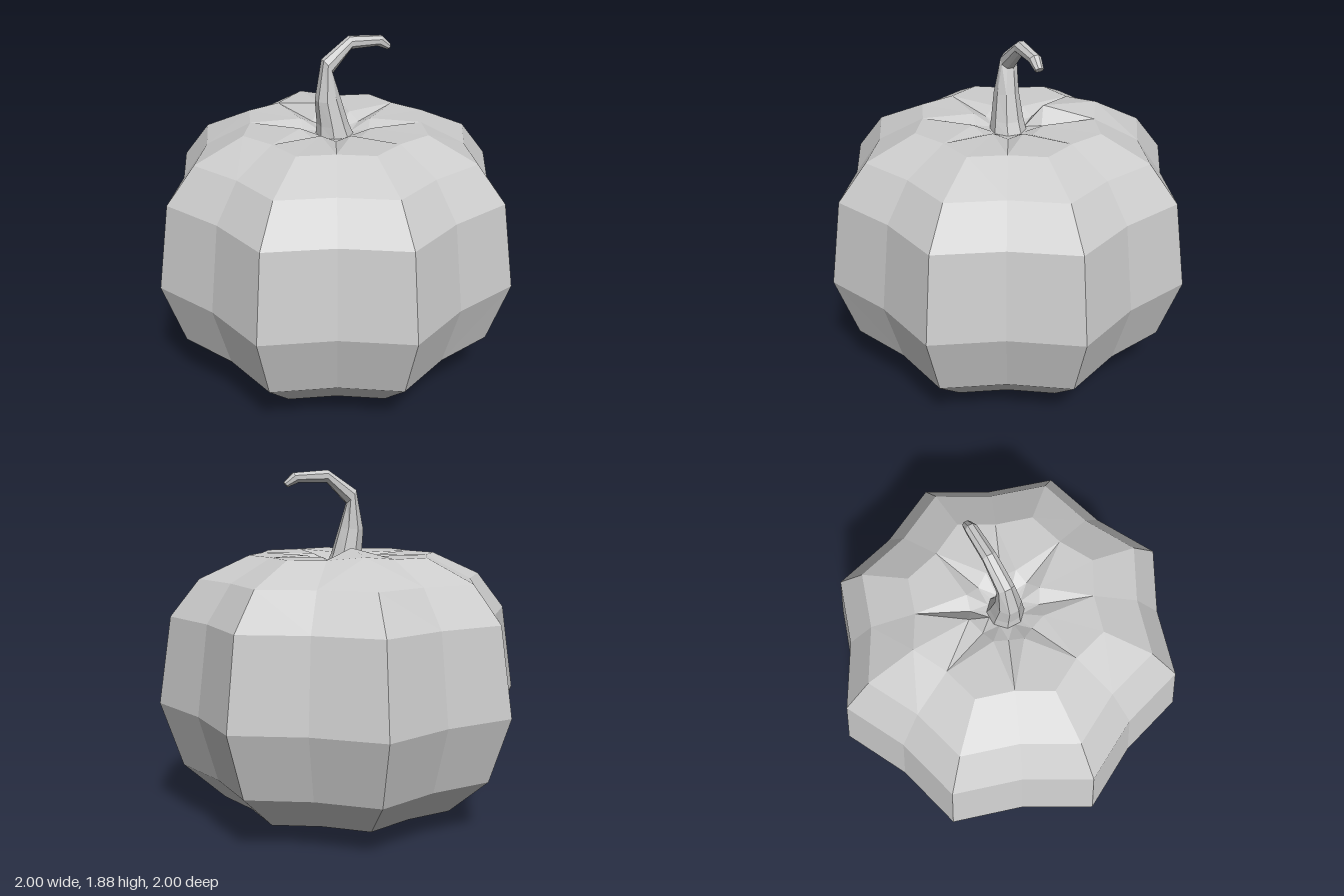
import * as THREE from 'three';

const SIDES = 16;

// Joins rings of points (bottom to top) into a faceted skin.
// slant(band, i) chooses which diagonal splits a quad.
function loft(rings, slant = () => true) {
  const pos = [];
  const tri = (...pts) => pts.forEach((p) => pos.push(p.x, p.y, p.z));
  for (let k = 0; k < rings.length - 1; k++) {
    const a = rings[k], b = rings[k + 1], n = a.length;
    for (let i = 0; i < n; i++) {
      const j = (i + 1) % n;
      if (slant(k, i)) {
        tri(a[i], a[j], b[i]);
        tri(a[j], b[j], b[i]);
      } else {
        tri(a[i], a[j], b[j]);
        tri(a[i], b[j], b[i]);
      }
    }
  }
  const geometry = new THREE.BufferGeometry();
  geometry.setAttribute('position', new THREE.Float32BufferAttribute(pos, 3));
  geometry.computeVertexNormals();
  return geometry;
}

// Ribbed body: even columns are ridges, odd columns are grooves
function bodyGeometry() {
  // ridge radius, groove radius, ridge height, groove height
  const profile = [
    [0, 0, 0.02, 0.02],
    [0.17, 0.15, 0, 0.025],
    [0.665, 0.588, 0.1, 0.1],
    [0.885, 0.782, 0.3, 0.3],
    [1, 0.884, 0.65, 0.65],
    [0.93, 0.822, 1.115, 1.115],
    [0.775, 0.685, 1.31, 1.31],
    [0.51, 0.45, 1.43, 1.43],
    [0.2, 0.175, 1.425, 1.39],
    [0.09, 0.09, 1.37, 1.37],
    [0, 0, 1.37, 1.37],
  ];
  const rings = profile.map(([rr, rg, yr, yg]) =>
    Array.from({ length: SIDES }, (_, i) => {
      const t = (i / SIDES) * Math.PI * 2, groove = i % 2;
      const r = groove ? rg : rr;
      return new THREE.Vector3(r * Math.sin(t), groove ? yg : yr, r * Math.cos(t));
    }));
  // the back rib is pushed up beside the stem
  rings[7][SIDES / 2].y = 1.45;
  rings[8][SIDES / 2].y = 1.475;
  // diagonals run from outer grooves to inner ridges, giving star-shaped creases
  return loft(rings, (k, i) => (k < 3) === (i % 2 === 1) ? true : i % 2 === 0 && k >= 3);
}

// Hooked stem: each section spans from its outer to its inner edge
function stemGeometry() {
  // outer x, y, inner x, y, half depth, centre z
  const sections = [
    [-0.1, 1.36, 0.09, 1.36, 0.09, 0],
    [-0.095, 1.43, 0.06, 1.43, 0.078, 0],
    [-0.105, 1.56, 0.02, 1.57, 0.06, -0.005],
    [-0.065, 1.77, -0.015, 1.7, 0.042, -0.018],
    [0.09, 1.875, 0.095, 1.81, 0.034, -0.03],
    [0.275, 1.86, 0.245, 1.81, 0.03, -0.033],
    [0.325, 1.81, 0.305, 1.785, 0.021, -0.033],
  ];
  const n = 8;
  const rings = sections.map(([ox, oy, ix, iy, d, z]) =>
    Array.from({ length: n }, (_, i) => {
      const t = ((i + 0.5) / n) * Math.PI * 2;
      const s = Math.sin(t) / Math.cos(Math.PI / n) / 2;
      return new THREE.Vector3(
        (ox + ix) / 2 + (ix - ox) * s,
        (oy + iy) / 2 + (iy - oy) * s,
        z + (d * Math.cos(t)) / Math.cos(Math.PI / n));
    }));
  // close the tip
  const [ox, oy, ix, iy, , z] = sections[sections.length - 1];
  rings.push(Array(n).fill(new THREE.Vector3((ox + ix) / 2, (oy + iy) / 2, z)));
  return loft(rings);
}

export function createModel() {
  const group = new THREE.Group();
  group.name = 'pumpkin';
  const material = new THREE.MeshStandardMaterial({ color: 0xcccccc, flatShading: true });
  material.name = 'pale grey';
  const parts = { ribbedBody: bodyGeometry(), stem: stemGeometry() };
  for (const [name, geometry] of Object.entries(parts)) {
    const mesh = new THREE.Mesh(geometry, material);
    mesh.name = name;
    group.add(mesh);
  }
  return group;
}
